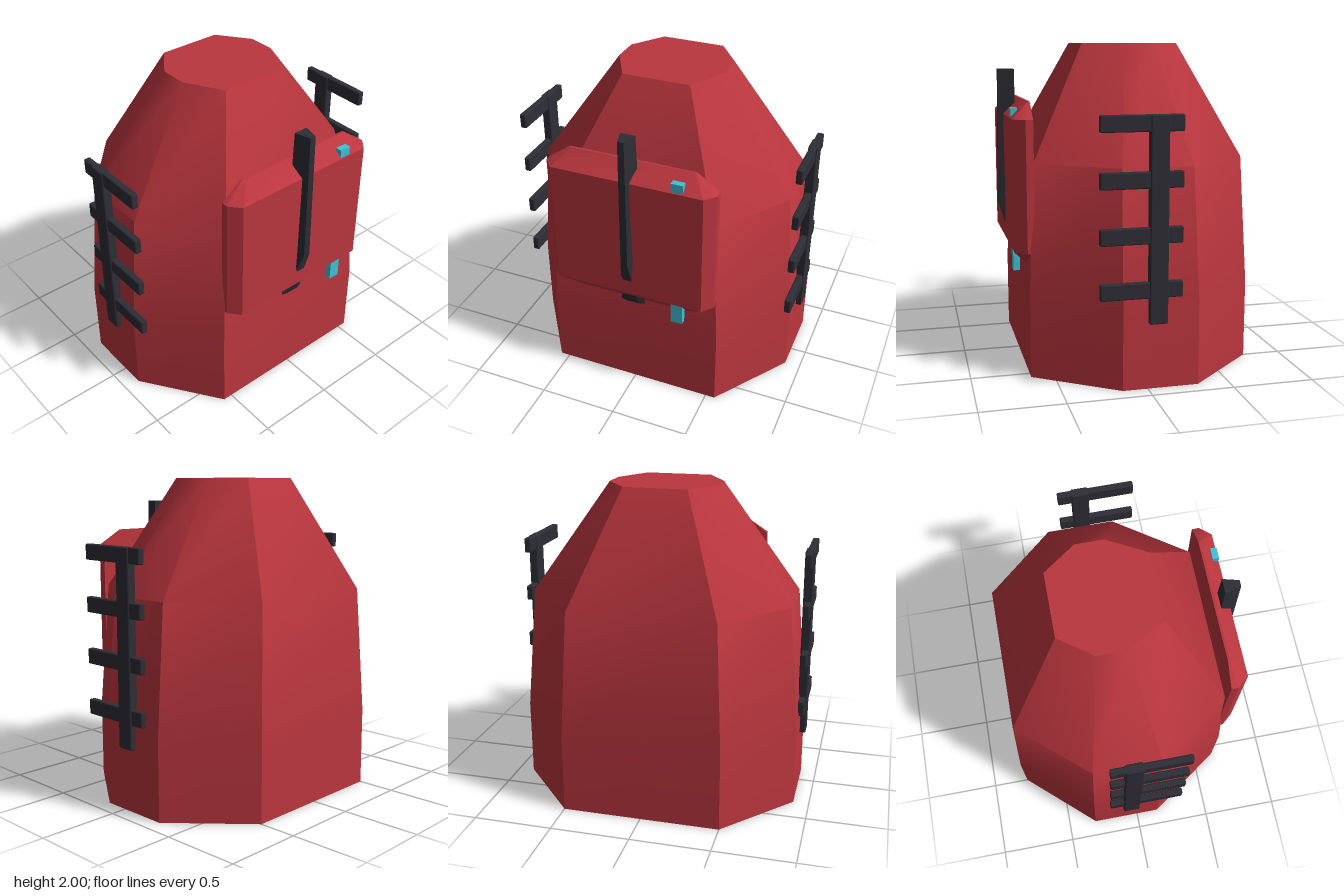
import * as THREE from 'three';
import { toCreasedNormals } from 'three/addons/utils/BufferGeometryUtils.js';
import { RoundedBoxGeometry } from 'three/addons/geometries/RoundedBoxGeometry.js';

// Lofts mirrored rings: each level is [y, half outline of [x, z] from front to back], bottom to top
function loft(levels, crease) {
  const pos = [], idx = [];
  const n = levels[0][1].length * 2;
  for (const [y, half] of levels) {
    const ring = [...half, ...half.map(([x, z]) => [-x, z]).reverse()];
    for (const [x, z] of ring) pos.push(x, y, z);
  }
  for (let i = 0; i < levels.length - 1; i++) {
    for (let j = 0; j < n; j++) {
      const a = i * n + j, b = i * n + (j + 1) % n;
      idx.push(a, b, b + n, a, b + n, a + n);
    }
  }
  const top = (levels.length - 1) * n;
  for (let j = 1; j < n - 1; j++) {
    idx.push(0, j + 1, j);
    idx.push(top, top + j, top + j + 1);
  }
  const g = new THREE.BufferGeometry();
  g.setAttribute('position', new THREE.Float32BufferAttribute(pos, 3));
  g.setIndex(idx);
  return toCreasedNormals(g, crease);
}

function material(name, color) {
  const m = new THREE.MeshStandardMaterial({ color });
  m.name = name;
  return m;
}

export function createModel() {
  const red = material('red fabric', 0xbb363e);
  const dark = material('dark strap', 0x2e2e36);
  const cyan = material('cyan accent', 0x40c2d6);
  const model = new THREE.Group();
  model.name = 'backpack';

  const add = (name, geometry, mat, parent = model) => {
    const mesh = new THREE.Mesh(geometry, mat);
    mesh.name = name;
    parent.add(mesh);
    return mesh;
  };
  const bar = (name, x, y, z, parent) => {
    const [w, h, d] = [x, y, z].map(([lo, hi]) => hi - lo);
    const mesh = add(name, new RoundedBoxGeometry(w, h, d, 1, 0.008), dark, parent);
    mesh.position.set((x[0] + x[1]) / 2, (y[0] + y[1]) / 2, (z[0] + z[1]) / 2);
  };

  // Eight-sided body, straight at the base and tapering to a flat top
  const base = [[0.56, 0.64], [0.9, 0.15], [0.9, -0.31], [0.5, -0.76]];
  add('body', loft([
    [0, base],
    [0.5, base],
    [1.3, [[0.51, 0.6], [0.83, 0.14], [0.83, -0.29], [0.46, -0.72]]],
    [2, [[0.215, 0.245], [0.345, 0.005], [0.345, -0.17], [0.2, -0.37]]],
  ], 0.6), red);

  // Front pocket with chamfered sides, top and bottom
  const pocket = [[0.48, 0.715], [0.54, 0.645], [0.54, 0.6]];
  add('frontPocket', loft([
    [0.67, [[0.36, 0.635], [0.38, 0.62], [0.38, 0.6]]],
    [0.76, pocket],
    [1.56, pocket],
    [1.66, [[0.38, 0.615], [0.4, 0.608], [0.4, 0.6]]],
  ], 0.5), red);

  // Wedge-shaped strap running through the pocket
  add('centreStrap', loft([
    [0.64, [[0.04, 0.65], [0.08, 0.64]]],
    [0.68, [[0.035, 0.662], [0.08, 0.64]]],
    [1.0, [[0.022, 0.758], [0.07, 0.642]]],
    [1.84, [[0.02, 0.745], [0.046, 0.645]]],
  ], 0.4), dark);

  // Cyan band showing above and below the pocket
  add('cyanBand', new THREE.BoxGeometry(0.075, 1.0, 0.04), cyan).position.set(0.32, 1.12, 0.69);

  // Side ladders: one upright and four rungs each
  for (const side of [1, -1]) {
    const ladder = new THREE.Group();
    ladder.name = side > 0 ? 'leftSideStraps' : 'rightSideStraps';
    model.add(ladder);
    const c = side * 0.908;
    bar('upright', [c - 0.029, c + 0.029], [0.4, 1.61], [-0.11, 0], ladder);
    for (let i = 0; i < 4; i++) {
      const y = 0.603 + i * 0.32;
      bar('rung', [c - 0.021, c + 0.021], [y - 0.048, y + 0.048], [-0.2, 0.29], ladder);
    }
  }
  return model;
}
